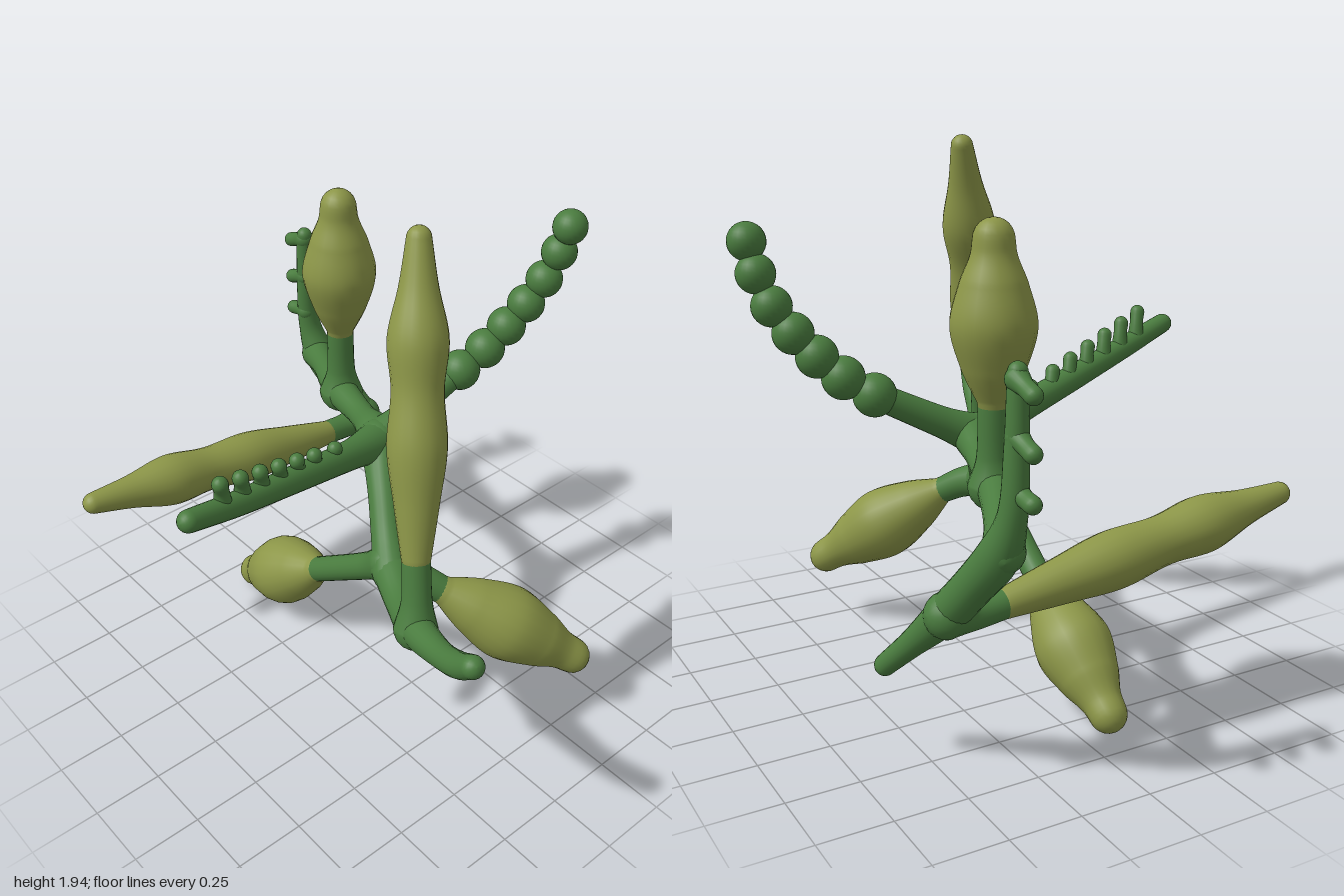
import * as THREE from 'three';

const green = new THREE.MeshStandardMaterial({ color: 0x4a7c3f });
const olive = new THREE.MeshStandardMaterial({ color: 0x8c9648 });

// Round-ended limb of varying radius through points [x, y, z, radius]
function limbGeometry(points, steps, sides = 20) {
  const curve = new THREE.CatmullRomCurve3(points.map(p => new THREE.Vector3(p[0], p[1], p[2])));
  const radii = new THREE.CatmullRomCurve3(
    points.map(p => new THREE.Vector3(p[3], 0, 0)), false, 'catmullrom', 0.5);
  const frames = curve.computeFrenetFrames(steps, false);
  const rings = [];
  const addRing = (i, scale, shift) => {
    const u = i / steps;
    const r = radii.getPoint(curve.getUtoTmapping(u)).x;
    const centre = curve.getPointAt(u).addScaledVector(frames.tangents[i], shift * r);
    rings.push({ centre, r: r * scale, n: frames.normals[i], b: frames.binormals[i] });
  };
  const cap = 6;
  for (let k = 0; k < cap; k++) {
    const a = k / cap * Math.PI / 2;
    addRing(0, Math.sin(a), -Math.cos(a));
  }
  for (let i = 0; i <= steps; i++) addRing(i, 1, 0);
  for (let k = cap - 1; k >= 0; k--) {
    const a = k / cap * Math.PI / 2;
    addRing(steps, Math.sin(a), Math.cos(a));
  }
  const position = [], index = [];
  rings.forEach((ring, i) => {
    for (let j = 0; j < sides; j++) {
      const a = j / sides * Math.PI * 2;
      const p = ring.centre.clone()
        .addScaledVector(ring.n, ring.r * Math.cos(a))
        .addScaledVector(ring.b, ring.r * Math.sin(a));
      position.push(p.x, p.y, p.z);
      if (i === rings.length - 1) continue;
      const next = (j + 1) % sides;
      const p0 = i * sides + j, p1 = i * sides + next;
      index.push(p0, p1, p0 + sides, p1, p1 + sides, p0 + sides);
    }
  });
  const g = new THREE.BufferGeometry();
  g.setAttribute('position', new THREE.Float32BufferAttribute(position, 3));
  g.setIndex(index);
  g.computeVertexNormals();
  return g;
}

// Pod profiles: [fraction along the pod, radius]
const plump = [[0, 0.052], [0.2, 0.1], [0.48, 0.137], [0.75, 0.105], [0.9, 0.074], [1, 0.066]];
const slender = [[0, 0.05], [0.18, 0.075], [0.36, 0.097], [0.54, 0.084], [0.7, 0.097], [0.86, 0.062], [1, 0.04]];

export function createModel() {
  const root = new THREE.Group();

  const limb = (name, points, material = green, steps = 36, parent = root) => {
    const mesh = new THREE.Mesh(limbGeometry(points, steps), material);
    mesh.name = name;
    parent.add(mesh);
  };
  const pod = (name, from, to, profile) => limb(name,
    profile.map(([t, r]) => [...from.map((v, k) => v + (to[k] - v) * t), r]), olive, 48);
  const ball = (name, [x, y, z, r], parent = root) => {
    const mesh = new THREE.Mesh(new THREE.SphereGeometry(r, 24, 16), green);
    mesh.position.set(x, y, z);
    mesh.name = name;
    parent.add(mesh);
  };

  // Main stem through the centre, from the back fork to the front fork
  limb('mainStem', [
    [0.43, 0.83, -0.84, 0.066], [0.36, 0.86, -0.7, 0.052], [0.25, 0.9, -0.47, 0.062],
    [0.18, 0.92, -0.25, 0.05], [0.11, 0.94, -0.08, 0.075], [0.02, 0.86, 0.05, 0.06],
    [-0.07, 0.73, 0.18, 0.06], [-0.13, 0.66, 0.27, 0.07]]);
  ball('centreJoint', [0.1, 0.945, -0.07, 0.078]);

  // Front branch with its upright pod
  limb('frontBranch', [
    [-0.11, 0.66, 0.25, 0.075], [-0.21, 0.66, 0.42, 0.058], [-0.29, 0.71, 0.57, 0.06],
    [-0.36, 0.78, 0.76, 0.045], [-0.4, 0.85, 0.88, 0.043], [-0.425, 0.92, 0.96, 0.038]]);
  limb('frontPodStem', [[-0.29, 0.71, 0.57, 0.075], [-0.275, 0.81, 0.555, 0.052], [-0.25, 0.96, 0.52, 0.048]]);
  pod('frontUprightPod', [-0.25, 0.96, 0.52], [-0.02, 1.91, 0.25], slender);

  // Two pods hanging from the front fork
  limb('lowerFrontPodStem', [[-0.12, 0.66, 0.25, 0.07], [-0.06, 0.635, 0.33, 0.058], [0, 0.59, 0.4, 0.05]]);
  pod('lowerFrontPod', [0, 0.59, 0.4], [0.36, 0.28, 0.72], plump);
  limb('bottomPodStem', [[-0.11, 0.67, 0.23, 0.075], [-0.115, 0.6, 0.14, 0.052], [-0.115, 0.37, -0.18, 0.048]]);
  pod('bottomPod', [-0.115, 0.37, -0.18], [-0.105, 0.075, -0.615], plump);

  // Comb branch with a row of teeth
  const comb = new THREE.Group();
  comb.name = 'combBranch';
  root.add(comb);
  limb('combArm', [[0.1, 0.94, -0.07, 0.078], [-0.07, 0.985, -0.02, 0.055], [-0.4, 1.075, 0.06, 0.047],
    [-0.65, 1.145, 0.12, 0.042], [-0.86, 1.21, 0.165, 0.037]], green, 36, comb);
  [-0.71, -0.62, -0.53, -0.44, -0.35, -0.26, -0.15].forEach((x, i) => {
    const y = 0.96 - 0.29 * x, z = -0.045 - 0.245 * x, h = 0.13 - 0.008 * i;
    limb('combTooth', [[x, y, z, 0.033], [x - 0.005, y + h * 0.5, z + 0.005, 0.025],
      [x - 0.015, y + h * 0.8, z + 0.015, 0.027]], green, 8, comb);
  });

  // Beaded branch
  const beads = new THREE.Group();
  beads.name = 'beadedBranch';
  root.add(beads);
  limb('beadedArm', [[0.1, 0.945, -0.07, 0.075], [0.22, 1.0, -0.06, 0.055], [0.46, 1.12, -0.025, 0.045]], green, 24, beads);
  [[0.46, 1.12, -0.025, 0.075], [0.56, 1.185, 0, 0.074], [0.64, 1.26, 0.025, 0.072], [0.71, 1.34, 0.05, 0.07],
    [0.77, 1.43, 0.075, 0.068], [0.81, 1.535, 0.1, 0.066], [0.827, 1.637, 0.125, 0.064]]
    .forEach(b => ball('bead', b, beads));

  // Upright pod on the back half of the main stem
  limb('backPodStem', [[0.255, 0.9, -0.47, 0.085], [0.257, 0.99, -0.472, 0.055], [0.258, 1.17, -0.475, 0.05]]);
  pod('backUprightPod', [0.258, 1.17, -0.475], [0.258, 1.675, -0.475], plump);

  // Back fork: knobbed branch rising, bare branch falling
  limb('backBranch', [[0.41, 1.365, -0.88, 0.03], [0.415, 1.15, -0.885, 0.037], [0.425, 0.95, -0.88, 0.045],
    [0.44, 0.82, -0.83, 0.066], [0.475, 0.7, -0.74, 0.064], [0.515, 0.58, -0.64, 0.062],
    [0.57, 0.45, -0.52, 0.044], [0.62, 0.345, -0.42, 0.036]], green, 64);
  [[1.345, 1.315], [1.18, 1.15], [1.02, 1.005]].forEach(([y0, y1]) =>
    limb('backKnob', [[0.413, y0, -0.885, 0.038], [0.412, (y0 + y1) / 2, -0.925, 0.028], [0.41, y1, -0.965, 0.028]], green, 8));

  // Long sideways pod on the falling branch
  limb('sidewaysPodStem', [[0.515, 0.58, -0.65, 0.075], [0.43, 0.565, -0.648, 0.052], [0.31, 0.575, -0.645, 0.048]]);
  pod('sidewaysPod', [0.31, 0.575, -0.645], [-0.775, 0.755, -0.645], slender);

  return root;
}
